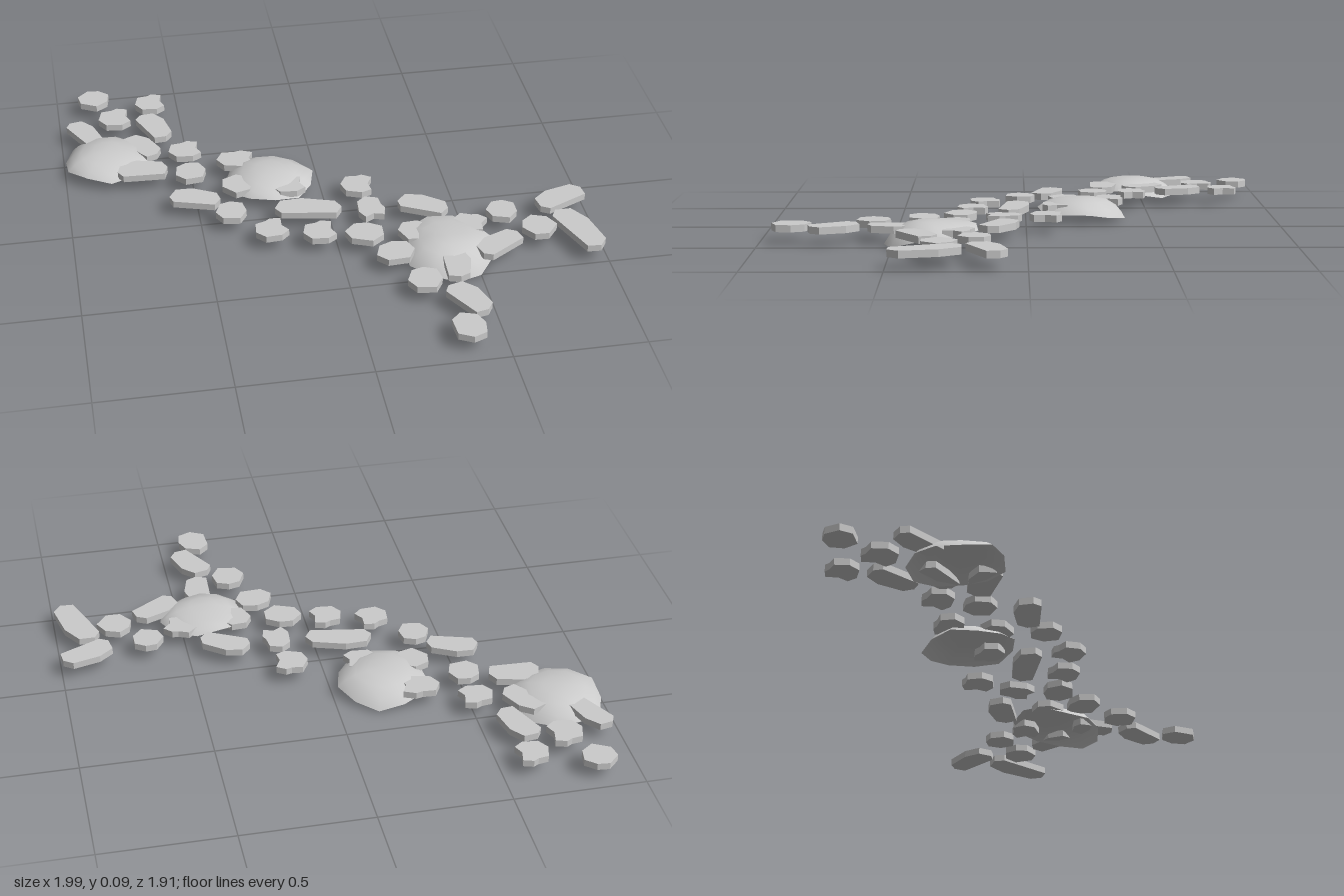
import * as THREE from 'three';
import { mergeVertices } from 'three/addons/utils/BufferGeometryUtils.js';

const material = new THREE.MeshStandardMaterial({ color: 0xcccccc, side: THREE.DoubleSide });
const TOP = 0.075, THICK = 0.027;

// Unit outlines, long axis along x
const outlines = {
  pebble: [[-.5, .05], [-.3, -.4], [.05, -.5], [.42, -.35], [.5, .1], [.25, .5], [-.3, .42]],
  notched: [[-.5, .1], [-.38, -.35], [-.05, -.4], [.12, -.5], [.44, -.4], [.36, -.02], [.5, .3], [.22, .5], [-.28, .45]],
  slab: [[-.5, .12], [-.42, -.36], [-.1, -.5], [.4, -.3], [.5, .05], [.42, .45], [-.1, .42], [-.4, .4]],
};

// Each stone: x, z, length, width, turn in degrees
const stones = {
  pebble: [
    [-.85, -.9, .13, .12, 20], [-.385, .022, .12, .12, 0], [-.51, -.28, .125, .12, -15],
    [.65, .19, .12, .12, 10], [.765, .32, .13, .13, -60], [.265, .578, .13, .13, 0],
    [.365, .88, .15, .12, 80], [.1, .25, .15, .12, 15], [.19, .392, .15, .12, -10],
    [-.335, -.16, .13, .12, 40], [.29, .27, .13, .12, 60],
  ],
  notched: [
    [-.62, -.83, .12, .12, 0], [-.775, -.735, .13, .13, 0], [-.515, -.443, .13, .115, 0],
    [.128, -.08, .125, .125, 15], [.155, .087, .14, .105, 90], [-.25, .165, .125, .12, -10],
    [-.07, .21, .125, .12, 0], [-.32, -.34, .15, .115, 10], [-.14, -.12, .13, .11, 0],
    [.51, .25, .13, .11, 30],
  ],
  slab: [
    [-.615, -.645, .2, .11, 65], [-.9, -.635, .2, .1, 60], [-.68, -.5, .18, .11, 50],
    [-.695, -.33, .2, .12, 0], [-.51, -.095, .2, .11, 15], [-.085, .045, .26, .11, 8],
    [.36, .1, .2, .11, 25], [.895, .14, .215, .115, -27], [.92, .358, .28, .12, 68],
    [.59, .4, .2, .11, -35], [.405, .51, .17, .11, 90], [.405, .718, .2, .115, 58],
  ],
};

// Flat paving stone with straight sides
function makeStone(outline, [x, z, length, width, turn]) {
  const a = THREE.MathUtils.degToRad(turn), c = Math.cos(a), s = Math.sin(a);
  const points = outline.map(([u, v]) => new THREE.Vector2(
    u * length * c - v * width * s, u * length * s + v * width * c));
  const geometry = new THREE.ExtrudeGeometry(new THREE.Shape(points), { depth: THICK, bevelEnabled: false });
  geometry.rotateX(Math.PI / 2);
  const mesh = new THREE.Mesh(geometry, material);
  mesh.position.set(x, TOP, z);
  return mesh;
}

// Shallow smooth dome whose wavy rim dips to the front or back
function makeBoulder(x, z, tilt, phase) {
  const R = 0.177;
  const profile = [[1, .035], [.85, .06], [.62, .08], [.32, .09], [0, .093]]
    .map(([r, y]) => new THREE.Vector2(r * R, y));
  let geometry = new THREE.LatheGeometry(profile, 11);
  geometry.deleteAttribute('uv');
  geometry.deleteAttribute('normal');
  geometry = mergeVertices(geometry, 1e-5);
  const p = geometry.attributes.position;
  for (let i = 0; i < p.count; i++) {
    const px = p.getX(i), pz = p.getZ(i), t = Math.hypot(px, pz) / R;
    const a = Math.atan2(pz, px);
    const y = p.getY(i) + t * t * t * (tilt * pz / R + 0.009 * Math.sin(3 * a + phase));
    const k = 1 + 0.03 * t * Math.sin(5 * a + phase);
    p.setXYZ(i, px * k, Math.max(0, y), pz * k);
  }
  geometry.computeVertexNormals();
  const mesh = new THREE.Mesh(geometry, material);
  mesh.position.set(x, 0, z);
  return mesh;
}

export function createModel() {
  const model = new THREE.Group();
  model.name = 'stonePath';

  // Paving stones
  for (const kind in stones) {
    const group = new THREE.Group();
    group.name = kind + 'Stones';
    stones[kind].forEach((spec, i) => {
      const stone = makeStone(outlines[kind], spec);
      stone.name = kind + 'Stone' + (i + 1);
      group.add(stone);
    });
    model.add(group);
  }

  // Three large domed boulders
  [[-.822, -.47, .014, .5], [-.2, -.222, .014, 2], [.405, .355, -.03, 1.2]].forEach((spec, i) => {
    const boulder = makeBoulder(...spec);
    boulder.name = 'boulder' + (i + 1);
    model.add(boulder);
  });
  return model;
}
